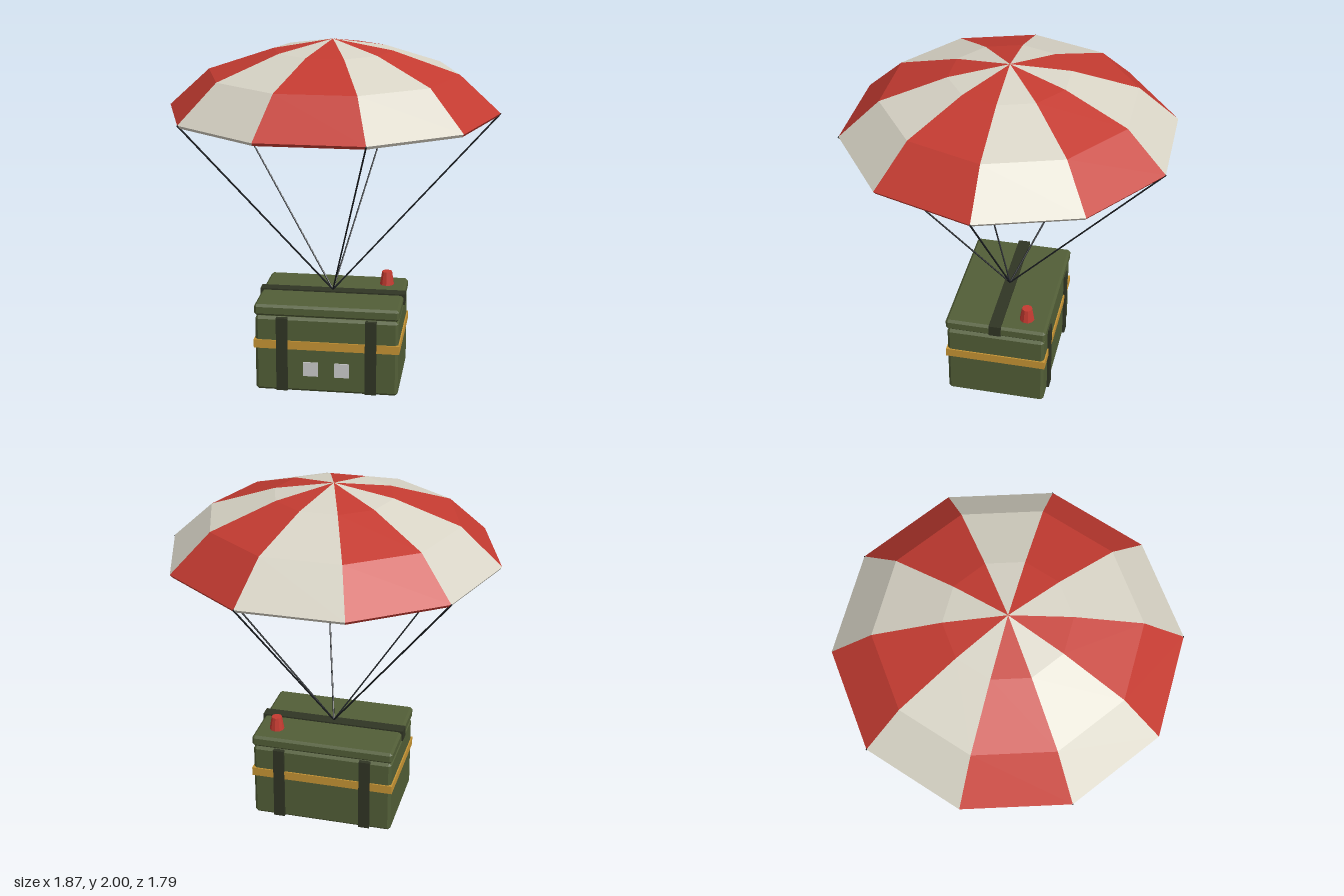
import * as THREE from 'three';
import { ConvexGeometry } from 'three/addons/geometries/ConvexGeometry.js';

const paint = (color, side = THREE.FrontSide) =>
  new THREE.MeshStandardMaterial({ color, side, flatShading: true });

// Box with flat chamfers on every edge
function chamferBox(w, h, d, c) {
  const pts = [];
  for (const x of [-1, 1]) for (const y of [-1, 1]) for (const z of [-1, 1]) {
    for (let a = 0; a < 3; a++) {
      pts.push(new THREE.Vector3(
        x * (w / 2 - (a === 0 ? 0 : c)),
        y * (h / 2 - (a === 1 ? 0 : c)),
        z * (d / 2 - (a === 2 ? 0 : c))));
    }
  }
  return new ConvexGeometry(pts);
}

export function createModel() {
  const model = new THREE.Group();
  model.name = 'supplyDrop';
  const red = paint(0xc43b31), redCloth = paint(0xc43b31, THREE.DoubleSide);
  const cream = paint(0xd8d4c6, THREE.DoubleSide);
  const green = paint(0x525e37), dark = paint(0x303524);
  const yellow = paint(0xc69434), grey = paint(0xcccccc), black = paint(0x1d2024);

  const add = (name, geometry, material, x = 0, y = 0, z = 0, parent = model) => {
    const mesh = new THREE.Mesh(geometry, material);
    mesh.name = name;
    mesh.position.set(x, y, z);
    parent.add(mesh);
    return mesh;
  };

  // Canopy: ten striped panels with a narrow turned-in hem
  const canopy = new THREE.Group();
  canopy.name = 'canopy';
  model.add(canopy);
  const R = 0.935, rimY = 1.605, step = Math.PI / 5;
  const profile = [[0.922, 1.588], [R, rimY], [0.705, 1.815], [0.335, 1.94], [0, 2]]
    .map(([r, y]) => new THREE.Vector2(r, y));
  for (let k = 0; k < 10; k++) {
    const panel = new THREE.LatheGeometry(profile, 1, Math.PI / 2 - (k + 1) * step, step);
    add('canopyPanel', panel, k % 2 ? cream : redCloth, 0, 0, 0, canopy);
  }

  // Cords from every second rim corner to the crate
  const knot = new THREE.Vector3(0, 0.53, 0);
  for (let k = 0; k < 10; k += 2) {
    const end = new THREE.Vector3(R * Math.cos(k * step), rimY, R * Math.sin(k * step));
    const dir = end.clone().sub(knot);
    const mid = end.clone().add(knot).multiplyScalar(0.5);
    const cord = add('cord', new THREE.CylinderGeometry(0.005, 0.005, dir.length(), 6),
      black, mid.x, mid.y, mid.z);
    cord.quaternion.setFromUnitVectors(new THREE.Vector3(0, 1, 0), dir.normalize());
  }

  // Crate body, lid and yellow band
  add('crateBody', chamferBox(0.82, 0.45, 0.57, 0.016), green, 0, 0.225, 0);
  add('crateLid', chamferBox(0.83, 0.067, 0.585, 0.014), green, 0, 0.4885, 0);
  add('crateBand', new THREE.BoxGeometry(0.835, 0.05, 0.585), yellow, 0, 0.285, 0);

  // Straps: two on the front and back, one along the lid
  for (const z of [-1, 1]) for (const x of [-1, 1]) {
    add('sideStrap', new THREE.BoxGeometry(0.065, 0.44, 0.03), dark, x * 0.255, 0.227, z * 0.283);
  }
  add('lidStrap', new THREE.BoxGeometry(0.848, 0.064, 0.07), dark, 0, 0.498, 0);

  // Labels on the front
  for (const x of [-0.09, 0.09]) {
    add('label', new THREE.BoxGeometry(0.085, 0.085, 0.012), grey, x, 0.142, 0.285);
  }

  // Beacon on the lid
  add('beacon', new THREE.CylinderGeometry(0.03, 0.043, 0.08, 10), red, 0.3, 0.56, -0.165);

  return model;
}
